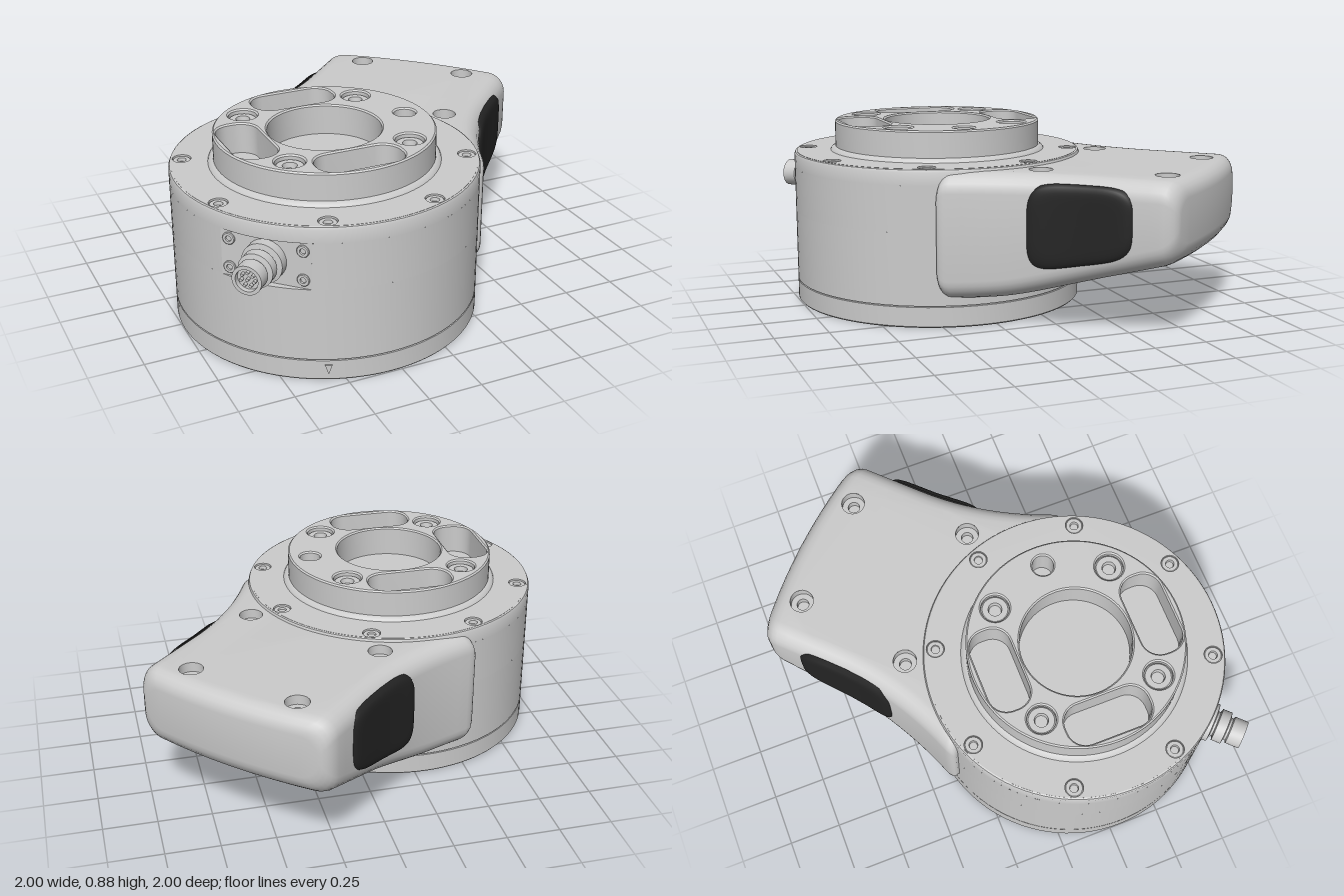
import * as THREE from 'three';
import { toCreasedNormals, mergeGeometries } from 'three/addons/utils/BufferGeometryUtils.js';
import { ParametricGeometry } from 'three/addons/geometries/ParametricGeometry.js';
import { RoundedBoxGeometry } from 'three/addons/geometries/RoundedBoxGeometry.js';

const grey = new THREE.MeshStandardMaterial({ color: 0xcccccc });
const greyThin = new THREE.MeshStandardMaterial({ color: 0xcccccc, side: THREE.DoubleSide });
const black = new THREE.MeshStandardMaterial({ color: 0x242424, side: THREE.DoubleSide });

function add(parent, name, geometry, x = 0, y = 0, z = 0, material = grey) {
  const mesh = new THREE.Mesh(geometry, material);
  mesh.name = name;
  mesh.position.set(x, y, z);
  parent.add(mesh);
  return mesh;
}

const lathe = (points, segments = 96, start = 0, sweep = Math.PI * 2) => toCreasedNormals(
  new THREE.LatheGeometry(points.map(p => new THREE.Vector2(...p)), segments, start, sweep), 0.5);

function polar(count, r, start) {
  return Array.from({ length: count }, (_, i) => {
    const t = start + i * Math.PI * 2 / count;
    return [r * Math.cos(t), r * Math.sin(t)];
  });
}

// Outlines as point lists without repeated points
const circle = (r, x = 0, y = 0, n = 32) =>
  polar(n, r, 0.05 + 0.1 * x).map(([px, py]) => new THREE.Vector2(x + px, y + py));

function slot(x, y, hw, hh, r = 0.085) {
  const pts = [];
  [[1, 1], [-1, 1], [-1, -1], [1, -1]].forEach(([sx, sy], q) => {
    for (let i = 0; i <= 8; i++) {
      const t = (q + i / 8) * Math.PI / 2;
      pts.push(new THREE.Vector2(x + sx * (hw - r) + r * Math.cos(t), y + sy * (hh - r) + r * Math.sin(t)));
    }
  });
  return pts;
}

// Flat round plate with holes, lying between two heights
function plate(r, holes, y0, y1, bevel = 0) {
  const s = new THREE.Shape(circle(r, 0, 0, 96));
  s.holes = holes.map(h => new THREE.Path(h));
  const g = new THREE.ExtrudeGeometry(s, {
    depth: y1 - y0 - bevel, bevelEnabled: bevel > 0,
    bevelSize: bevel, bevelThickness: bevel, bevelOffset: -bevel, bevelSegments: 1,
  });
  return toCreasedNormals(g.rotateX(-Math.PI / 2).translate(0, y0, 0), 0.5);
}

// Socket-head screw of unit radius, its top at y = 0
const screwGeometry = lathe([[1, -0.5], [1, -0.12], [0.88, 0], [0.48, 0], [0.42, -0.35], [0, -0.35]], 24);
function screw(parent, x, y, z, r) {
  const m = add(parent, 'screw', screwGeometry, x, y, z);
  m.scale.setScalar(r);
  return m;
}

// Arm rules: half width and underside height along its length
const TOP = 0.715, CORNER = 0.09;
const halfWidth = a => 0.5 + 0.36 * Math.max(0, 1 - a) ** 2;
const underside = a => 0.127 + 0.15 * (a - 0.6 + Math.sqrt((a - 0.6) ** 2 + 0.02));
const bulge = (a, b) => 0.045 * (1 - (b / 0.5) ** 2) * THREE.MathUtils.smoothstep(a, 1.0, 1.3);

// Rounded rectangle across the arm at a, inset by d
function armSection(a, d) {
  const w = halfWidth(a) - 0.7 * d - CORNER, t = TOP - d - CORNER, u = underside(a) + d + CORNER;
  const pts = [];
  [[-w, t, 1], [-w, u, 2], [w, u, 3], [w, t, 0]].forEach(([cb, cy, q], j) => {
    for (let i = 0; i <= 6; i++) {
      const th = (q + i / 6) * Math.PI / 2;
      pts.push([cb + CORNER * Math.cos(th), cy + CORNER * Math.sin(th)]);
    }
    if (j % 2) for (let i = 1; i < 8; i++) {
      pts.push([cb * (1 - i / 4), j === 1 ? u - CORNER : t + CORNER]);
    }
  });
  return pts.map(([b, y]) => new THREE.Vector3(a + bulge(a, b), y, b));
}

function armGeometry(holes, holeRadius) {
  const stations = [], FILLET = 5, MAIN = 18;
  for (let i = FILLET; i > 0; i--) {
    const t = i / FILLET * Math.PI / 2;
    stations.push([0.37 - 0.06 * Math.sin(t), 0.06 * (1 - Math.cos(t))]);
  }
  for (let i = 0; i <= MAIN; i++) stations.push([0.37 + 0.93 * i / MAIN, 0]);
  for (let i = 1; i <= FILLET; i++) {
    const t = i / FILLET * Math.PI / 2;
    stations.push([1.3 + 0.075 * Math.sin(t), 0.075 * (1 - Math.cos(t))]);
  }
  const rows = stations.map(s => armSection(...s)), n = rows[0].length;
  const first = FILLET, last = FILLET + MAIN, topStart = 34;
  const out = [];
  const quad = (A, B, C, D) => [A, B, C, B, D, C].forEach(p => out.push(p.x, p.y, p.z));
  for (let s = 0; s < rows.length - 1; s++) for (let i = 0; i < n; i++) {
    if (i >= topStart && s >= first && s < last) continue; // left open for the drilled top
    const k = (i + 1) % n;
    quad(rows[s][i], rows[s + 1][i], rows[s][k], rows[s + 1][k]);
  }
  // End faces in upright strips
  const near = rows[0], far = rows.at(-1), above = j => (55 - j) % n;
  for (let j = 7; j < 27; j++) {
    quad(far[j], far[above(j)], far[j + 1], far[above(j + 1)]);
    quad(near[j], near[j + 1], near[above(j)], near[above(j + 1)]);
  }
  const shell = new THREE.BufferGeometry();
  shell.setAttribute('position', new THREE.Float32BufferAttribute(out, 3));
  // Drilled top face
  const main = rows.slice(first, last + 1);
  const edge = [
    ...main.map(r => r[topStart]), ...main.at(-1).slice(topStart + 1),
    ...main.map(r => r[0]).reverse(), ...main[0].slice(topStart + 1).reverse(),
  ];
  const shape = new THREE.Shape(edge.map(p => new THREE.Vector2(p.x, -p.z)));
  shape.holes = holes.map(([x, z]) => new THREE.Path(circle(holeRadius, x, -z)));
  const top = new THREE.ShapeGeometry(shape).rotateX(-Math.PI / 2).translate(0, TOP, 0).toNonIndexed();
  top.deleteAttribute('uv');
  top.deleteAttribute('normal');
  return toCreasedNormals(mergeGeometries([shell, top]), 0.6);
}

// Grip pad that follows the side of the arm
function padGeometry() {
  const soft = v => Math.sign(v) * Math.abs(v) ** 0.45;
  return new ParametricGeometry((u, v, p) => {
    const t = u * Math.PI * 2;
    const a = 0.945 + 0.25 * v * soft(Math.cos(t));
    const low = 0.27 + 0.2 * Math.max(0, a - 0.72);
    const y = (0.683 + low) / 2 + (0.683 - low) / 2 * v * soft(Math.sin(t));
    p.set(a, y, halfWidth(a) - 0.012 + 0.03 * Math.sqrt(1 - v ** 10));
  }, 64, 16);
}

export function createModel() {
  const root = new THREE.Group();
  const unit = new THREE.Group();
  unit.name = 'sensorUnit';
  unit.position.set(-0.3, 0, 0.3);
  root.add(unit);
  const diagonal = new THREE.Group();
  diagonal.name = 'handleAndConnector';
  diagonal.rotation.y = Math.PI / 4;
  unit.add(diagonal);

  // Round housing, its middle band open at the connector pocket
  const LOW = 0.44, HIGH = 0.655, FLAT = 0.67, half = Math.acos(FLAT / 0.7);
  add(diagonal, 'housingLower', lathe([[0.685, 0], [0.695, 0], [0.7, 0.006], [0.7, 0.096], [0.693, 0.097],
    [0.693, 0.101], [0.7, 0.102], [0.7, LOW]]));
  add(diagonal, 'housingMiddle', lathe([[0.7, LOW], [0.7, HIGH]], 96, Math.PI * 1.5 + half, 2 * (Math.PI - half)));
  add(diagonal, 'housingUpper', lathe([[0.7, HIGH], [0.7, 0.715], [0.695, 0.726], [0.685, 0.73]]));
  const segment = new THREE.Shape().absarc(0, 0, 0.7, Math.PI - half, Math.PI + half, false);
  const ledge = new THREE.ShapeGeometry(segment).rotateX(-Math.PI / 2);
  for (const y of [LOW, HIGH]) add(diagonal, 'pocketLedge', ledge, 0, y, 0, greyThin);

  const rim = polar(8, 0.642, Math.PI / 8);
  const rimHoles = rim.map(([x, y]) => circle(0.042, x, y));
  add(unit, 'housingTop', plate(0.688, rimHoles, 0.7, 0.73));
  add(unit, 'bottomRing', plate(0.688, [circle(0.59, 0, 0, 96), ...rimHoles], 0, 0.04));
  add(unit, 'bottomRecess', lathe([[0, 0.085], [0.56, 0.085], [0.56, 0.035], [0.59, 0.035]]));
  rim.forEach(([x, z]) => {
    screw(unit, x, 0.724, z, 0.0425);
    screw(unit, x, 0.006, z, 0.0425).rotation.x = Math.PI;
  });

  // Raised mounting collar
  const bolts = polar(4, 0.4, Math.PI / 4);
  add(unit, 'collar', plate(0.5, [
    circle(0.257, 0, 0, 64), circle(0.05, 0.4, 0),
    slot(0, 0.372, 0.2, 0.097), slot(0, -0.372, 0.2, 0.097), slot(-0.372, 0, 0.097, 0.2),
    ...bolts.map(([x, y]) => circle(0.066, x, y)),
  ], 0.725, 0.875, 0.007));
  add(unit, 'collarFoot', lathe([[0.525, 0.729], [0.52, 0.738], [0.506, 0.748], [0.49, 0.75]]));
  bolts.forEach(([x, z]) => screw(unit, x, 0.855, z, 0.067));

  // Alignment mark on the base
  const mark = new THREE.Shape([[-0.016, 0.022], [0, -0.024], [0.016, 0.022]].map(p => new THREE.Vector2(...p)));
  add(unit, 'alignmentMark', new THREE.ExtrudeGeometry(mark, { depth: 0.01, bevelEnabled: false }),
    -0.27, 0.055, 0.641).rotation.y = Math.atan2(-0.27, 0.641);

  // Handle, pointing diagonally back
  const armHoles = [[0.7, 0.352], [0.7, -0.352], [1.27, 0.277], [1.27, -0.277]];
  add(diagonal, 'arm', armGeometry(armHoles, 0.055));
  const cup = lathe([[0.055, 0], [0.055, -0.045], [0.028, -0.045], [0.028, -0.08], [0, -0.08]], 32);
  armHoles.forEach(([x, z]) => add(diagonal, 'armHole', cup, x, TOP, z));
  const pad = padGeometry();
  add(diagonal, 'gripPad', pad, 0, 0, 0, black);
  add(diagonal, 'gripPad', pad, 0, 0, 0, black).scale.z = -1;
  add(diagonal, 'undersidePanel', new RoundedBoxGeometry(0.16, 0.02, 0.3, 3, 0.009),
    0.93, underside(0.93) + 0.005, 0).rotation.z = 0.26;

  // Cable connector in the pocket opposite the handle
  const connector = new THREE.Group();
  connector.name = 'connector';
  connector.position.set(-FLAT, (LOW + HIGH) / 2, 0);
  connector.rotation.z = Math.PI / 2;
  diagonal.add(connector);
  add(connector, 'connectorPlate', new THREE.BoxGeometry(HIGH - LOW, 0.02, 0.406), 0, -0.01, 0);
  add(connector, 'connectorBarrel', lathe([[0.092, 0], [0.092, 0.045], [0.06, 0.05], [0.06, 0.06], [0.078, 0.065],
    [0.078, 0.11], [0.055, 0.115], [0.055, 0.125], [0.066, 0.13], [0.066, 0.195],
    [0.05, 0.195], [0.05, 0.172], [0, 0.172]], 32));
  const pin = new THREE.CylinderGeometry(0.007, 0.007, 0.02, 10);
  [[0, 0], ...polar(7, 0.03, 0)].forEach(([x, z]) => add(connector, 'pin', pin, x, 0.18, z));
  for (const x of [-0.067, 0.067]) for (const z of [-0.166, 0.166]) screw(connector, x, 0.008, z, 0.028);

  return root;
}
